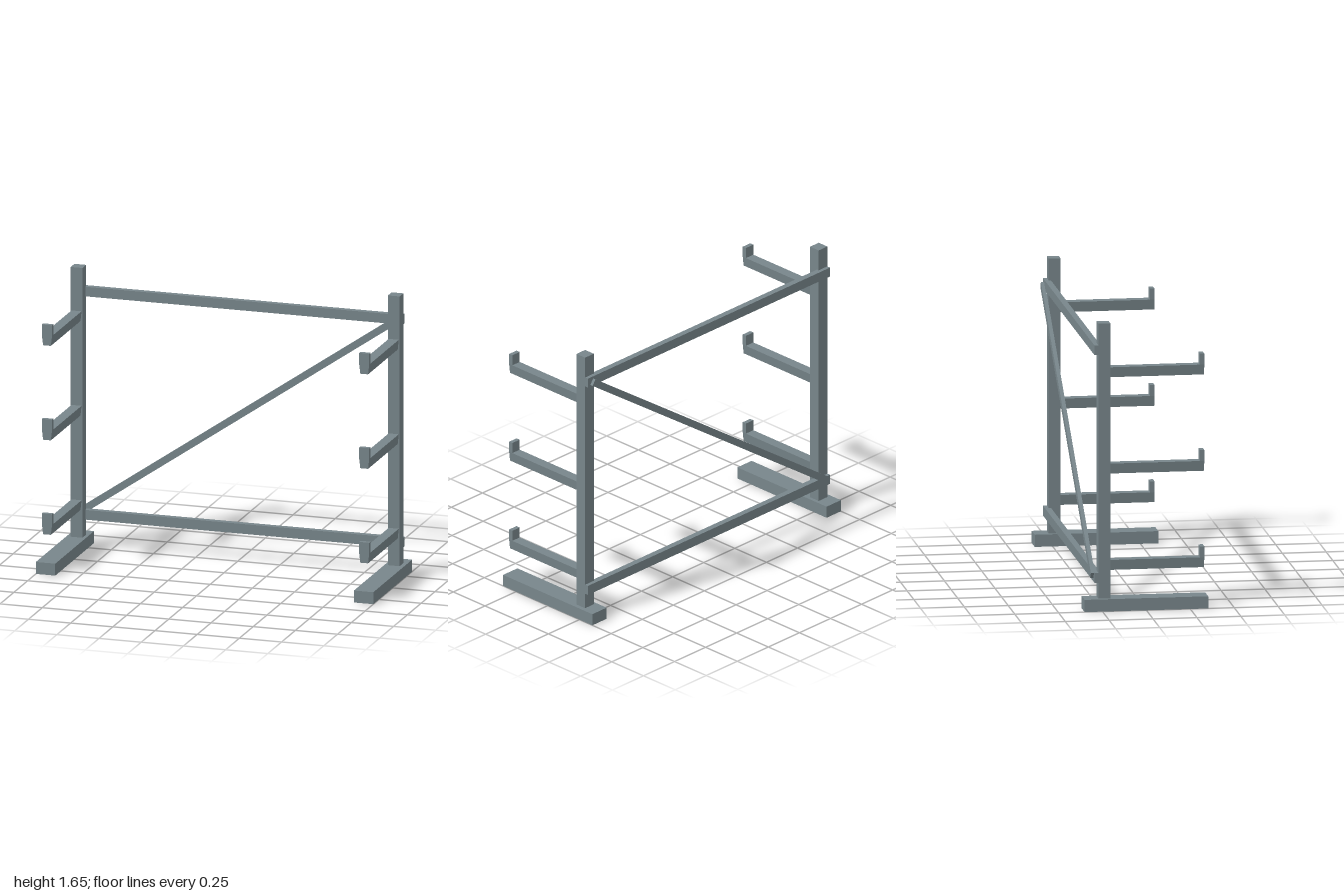
import * as THREE from 'three';

const steel = new THREE.MeshStandardMaterial({ color: 0x78868b });
steel.name = 'grey steel';

// Box given by its lower and upper limits on each axis
function bar(name, [x0, x1], [y0, y1], [z0, z1]) {
  const mesh = new THREE.Mesh(new THREE.BoxGeometry(x1 - x0, y1 - y0, z1 - z0), steel);
  mesh.position.set((x0 + x1) / 2, (y0 + y1) / 2, (z0 + z1) / 2);
  mesh.name = name;
  return mesh;
}

// Arm that narrows towards its underside, with an upright stop at its tip
function createArm(x, y) {
  const arm = new THREE.Group();
  arm.name = 'arm';
  const beam = bar('armBeam', [-0.03, 0.03], [0, 0.058], [-0.205, 0.334]);
  const p = beam.geometry.attributes.position;
  for (let i = 0; i < p.count; i++) if (p.getY(i) < 0) p.setX(i, p.getX(i) * 0.77);
  beam.geometry.computeVertexNormals();
  arm.add(beam, bar('armStop', [-0.03, 0.03], [0.058, 0.121], [0.309, 0.334]));
  arm.position.set(x, y, 0);
  return arm;
}

export function createModel() {
  const rack = new THREE.Group();
  rack.name = 'cantileverRack';

  // Two uprights, each with a foot and three arms
  for (const side of [-1, 1]) {
    const x = side * 0.94;
    const frame = new THREE.Group();
    frame.name = side > 0 ? 'leftFrame' : 'rightFrame';
    const footX = side * 0.9425;
    frame.add(
      bar('foot', [footX - 0.0575, footX + 0.0575], [0, 0.07], [-0.352, 0.352]),
      bar('post', [x - 0.035, x + 0.035], [0.07, 1.65], [-0.27, -0.202])
    );
    for (let i = 0; i < 3; i++) frame.add(createArm(x, 0.231 + i * 0.5535));
    rack.add(frame);
  }

  // Horizontal rails behind the posts
  rack.add(
    bar('lowerRail', [-0.974, 0.974], [0.161, 0.218], [-0.292, -0.257]),
    bar('upperRail', [-0.974, 0.974], [1.469, 1.525], [-0.292, -0.257])
  );

  // Diagonal brace across the back
  const brace = bar('diagonalBrace', [-1.145, 1.145], [0.827, 0.867], [-0.31, -0.288]);
  brace.rotation.z = Math.atan(0.687);
  rack.add(brace);

  return rack;
}
